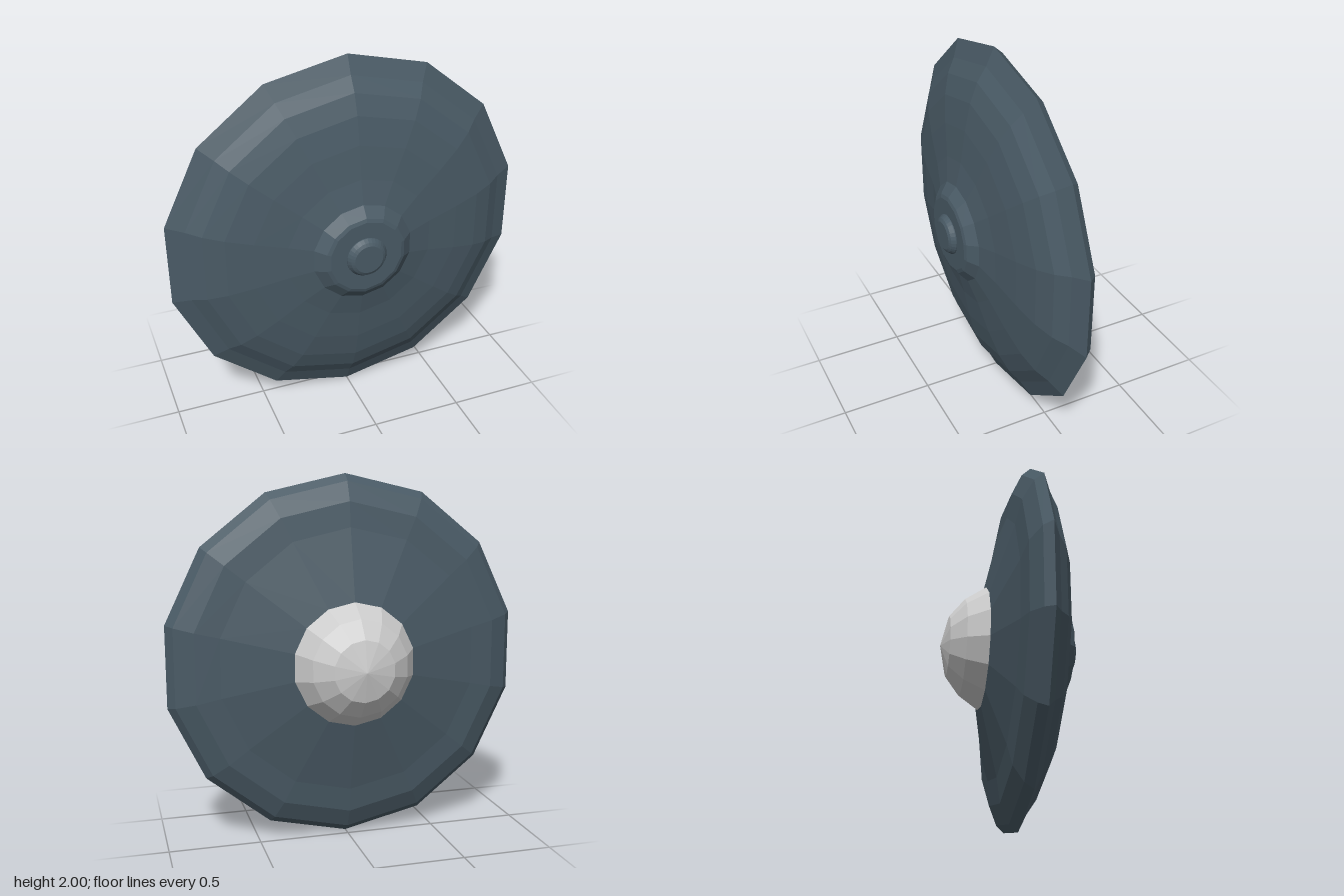
import * as THREE from 'three';

const SIDES = 14;

// Revolves [radius, z] pairs (listed back to front) around the z axis
function revolve(name, profile, sides, material) {
  const points = profile.map(([r, z]) => new THREE.Vector2(r, z));
  const geometry = new THREE.LatheGeometry(points, sides);
  geometry.rotateX(Math.PI / 2);
  const mesh = new THREE.Mesh(geometry, material);
  mesh.name = name;
  return mesh;
}

export function createModel() {
  const hullMaterial = new THREE.MeshStandardMaterial({ color: 0x495a65, flatShading: true });
  const domeMaterial = new THREE.MeshStandardMaterial({ color: 0xcccccc, flatShading: true });

  const saucer = new THREE.Group();
  saucer.name = 'saucer';
  saucer.position.y = 1;

  // Disc: shallow cone behind the rim, stepped bowl in front of it
  saucer.add(revolve('hull', [
    [0, -0.14], [0.335, -0.14], [0.72, -0.055], [0.855, -0.037], [0.96, 0.01],
    [1, 0.055],
    [0.905, 0.1], [0.83, 0.15], [0.725, 0.19], [0.58, 0.222], [0.405, 0.25],
    [0.275, 0.28], [0.22, 0.325], [0.2, 0.332], [0, 0.332],
  ], SIDES, hullMaterial));

  // Faceted canopy on the back
  saucer.add(revolve('dome', [
    [0, -0.367], [0.165, -0.328], [0.262, -0.25], [0.335, -0.14],
  ], SIDES, domeMaterial));

  // Small round boss in the middle of the front
  saucer.add(revolve('hub', [
    [0.11, 0.325], [0.11, 0.337], [0.095, 0.358], [0.078, 0.367], [0, 0.367],
  ], 32, hullMaterial));

  const model = new THREE.Group();
  model.name = 'flyingSaucer';
  model.add(saucer);
  return model;
}
